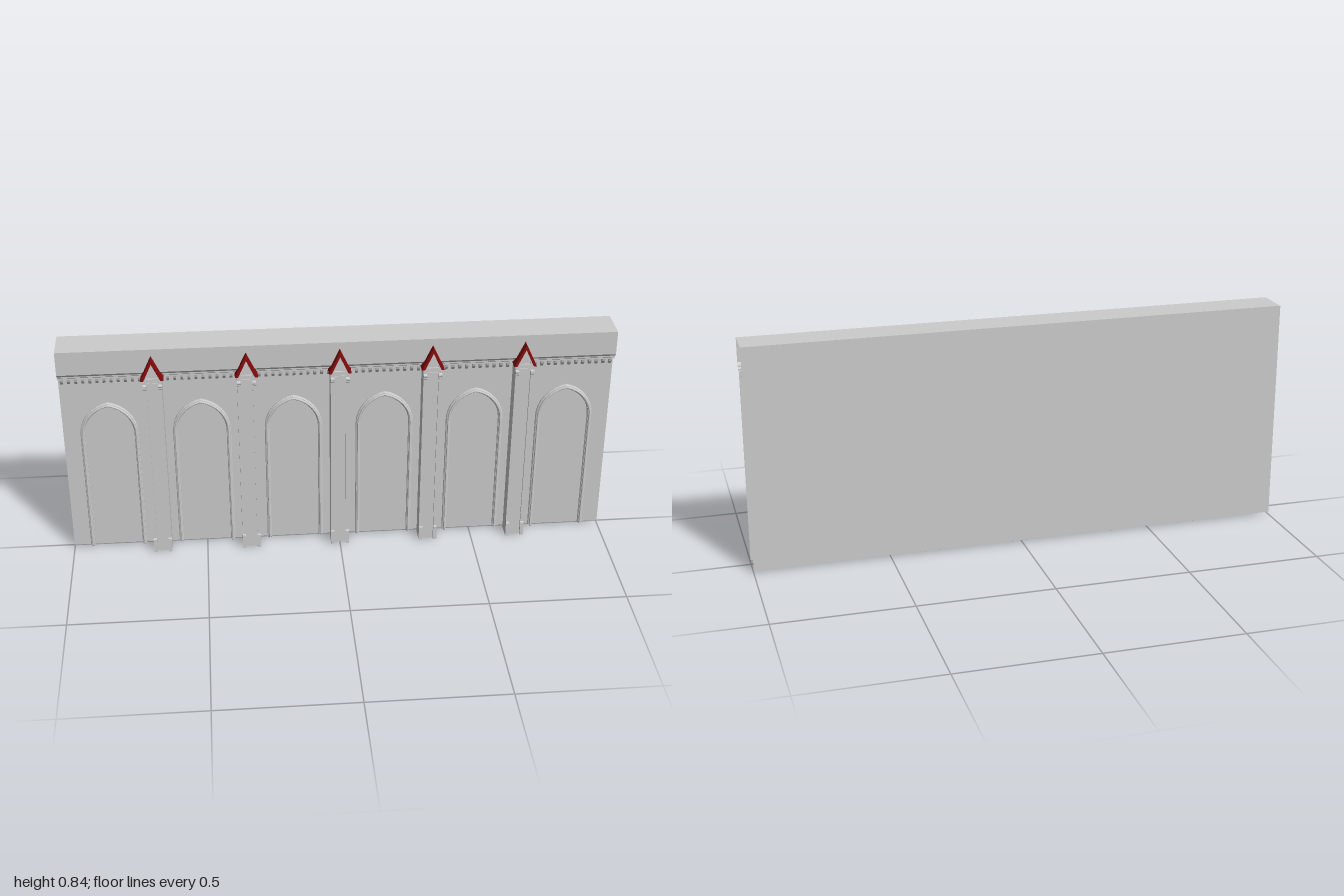
import * as THREE from 'three';

const grey = new THREE.MeshStandardMaterial({ color: 0xcccccc, flatShading: true });
const greyOpen = new THREE.MeshStandardMaterial({ color: 0xcccccc, flatShading: true, side: THREE.DoubleSide });
const red = new THREE.MeshStandardMaterial({ color: 0x8b0d0d });

const toShape = pts => new THREE.Shape(pts.map(([x, y]) => new THREE.Vector2(x, y)));

function mesh(name, geometry, material = grey) {
  const m = new THREE.Mesh(geometry, material);
  m.name = name;
  return m;
}

// Outline in x, y pushed from z0 to z1
function extrudeZ(shape, z0, z1, bevel = 0) {
  const g = new THREE.ExtrudeGeometry(shape, {
    depth: z1 - z0 - bevel, bevelEnabled: bevel > 0, bevelSize: bevel,
    bevelThickness: bevel, bevelOffset: -bevel, bevelSegments: 1,
  });
  return g.translate(0, 0, z0);
}

// Outline in z, y pushed along x, centred on x
function extrudeX(pts, x, width) {
  const g = new THREE.ExtrudeGeometry(toShape(pts), { depth: width, bevelEnabled: false });
  return g.translate(0, 0, -width / 2).rotateY(-Math.PI / 2).translate(x, 0, 0);
}

// Pointed arch from the left foot over the apex to the right foot
function archPoints(w, foot, spring, top, n = 8) {
  const h = top - spring, r = (w * w + h * h) / (2 * w);
  const end = Math.asin(h / r), left = [[-w, foot]];
  for (let i = 0; i <= n; i++) {
    const a = end * i / n;
    left.push([r - w - r * Math.cos(a), spring + r * Math.sin(a)]);
  }
  return left.concat(left.slice(0, -1).reverse().map(([x, y]) => [-x, y]));
}

// Open-ended shell: front wall, cornice, parapet, top and back
function wallShell() {
  const profile = [[0.015, 0.01], [0.015, 0.724], [0.034, 0.724], [0.034, 0.73], [0.041, 0.735],
    [0.041, 0.74], [0.05, 0.75], [0.05, 0.84], [-0.08, 0.84], [-0.08, 0.01]];
  const pos = [];
  for (let i = 0; i < profile.length - 1; i++) {
    const [za, ya] = profile[i], [zb, yb] = profile[i + 1];
    pos.push(-1, ya, za, 1, ya, za, 1, yb, zb, -1, ya, za, 1, yb, zb, -1, yb, zb);
  }
  const g = new THREE.BufferGeometry();
  g.setAttribute('position', new THREE.Float32BufferAttribute(pos, 3));
  g.computeVertexNormals();
  return g;
}

function buttress() {
  const group = new THREE.Group();
  group.name = 'buttress';
  const mid = 0.005;

  // Core, set back between the two side shafts
  const core = new THREE.BoxGeometry(0.046, 0.73, 0.118).translate(0, 0.365, mid);
  group.add(mesh('buttressCore', core));

  // Side shafts with plinth and capital at front and back
  const half = [[0.07, 0], [0.07, 0.055], [0.0665, 0.06], [0.0665, 0.69], [0.069, 0.693],
    [0.069, 0.699], [0.072, 0.702], [0.072, 0.707], [0.058, 0.71], [0.058, 0.732]];
  const outline = half.map(([z, y]) => [mid + z, y])
    .concat(half.slice().reverse().map(([z, y]) => [mid - z, y]));
  for (const s of [-1, 1]) group.add(mesh('sideShaft', extrudeX(outline, s * 0.0275, 0.013)));

  // Gable filling with a pointed recess
  const gable = [[-0.034, 0.71], [0.034, 0.71], [0.034, 0.735], [0, 0.798], [-0.034, 0.735]];
  group.add(mesh('gableFill', extrudeZ(toShape(gable), -0.055, 0.058)));
  const face = toShape(gable);
  face.holes.push(toShape(archPoints(0.02, 0.714, 0.73, 0.762, 5).reverse()));
  group.add(mesh('gableFace', extrudeZ(face, 0.058, 0.067)));

  // Red pitched cap
  const cap = [[-0.041, 0.727], [-0.03, 0.727], [0, 0.793], [0.03, 0.727], [0.041, 0.727], [0, 0.815]];
  group.add(mesh('gableRoof', extrudeZ(toShape(cap), -0.066, 0.075), red));
  return group;
}

export function createModel() {
  const model = new THREE.Group();
  model.name = 'arcadedWall';
  model.add(mesh('wallShell', wallShell(), greyOpen));

  // Blind arch mouldings, one per bay
  const frame = (wOut, wIn, top) => toShape(
    archPoints(wOut, 0.01, 0.49, top).concat(archPoints(wIn, 0.01, 0.49, top - (wOut - wIn)).reverse()));
  const outer = extrudeZ(frame(0.105, 0.089, 0.618), 0.005, 0.024, 0.003);
  const inner = extrudeZ(frame(0.1, 0.093, 0.613), 0.02, 0.031, 0.002);
  for (let i = 0; i < 6; i++) {
    const arch = new THREE.Group();
    arch.name = 'archMoulding';
    arch.add(mesh('archBand', outer), mesh('archRoll', inner));
    arch.position.x = (i - 2.5) / 3;
    model.add(arch);
  }

  // Buttresses between the bays
  const pier = buttress();
  for (let i = -2; i <= 2; i++) {
    const copy = pier.clone();
    copy.position.x = i / 3;
    model.add(copy);
  }

  // Row of small corbels under the cornice
  const corbel = extrudeX([[0.013, 0.7], [0.02, 0.7], [0.026, 0.708], [0.031, 0.714],
    [0.034, 0.726], [0.013, 0.726]], 0, 0.01);
  const count = 80;
  const corbels = new THREE.Group();
  corbels.name = 'corbels';
  for (let i = 0; i < count; i++) {
    const c = mesh('corbel', corbel);
    c.position.x = -1 + (i + 0.5) * 2 / count;
    corbels.add(c);
  }
  model.add(corbels);
  return model;
}
